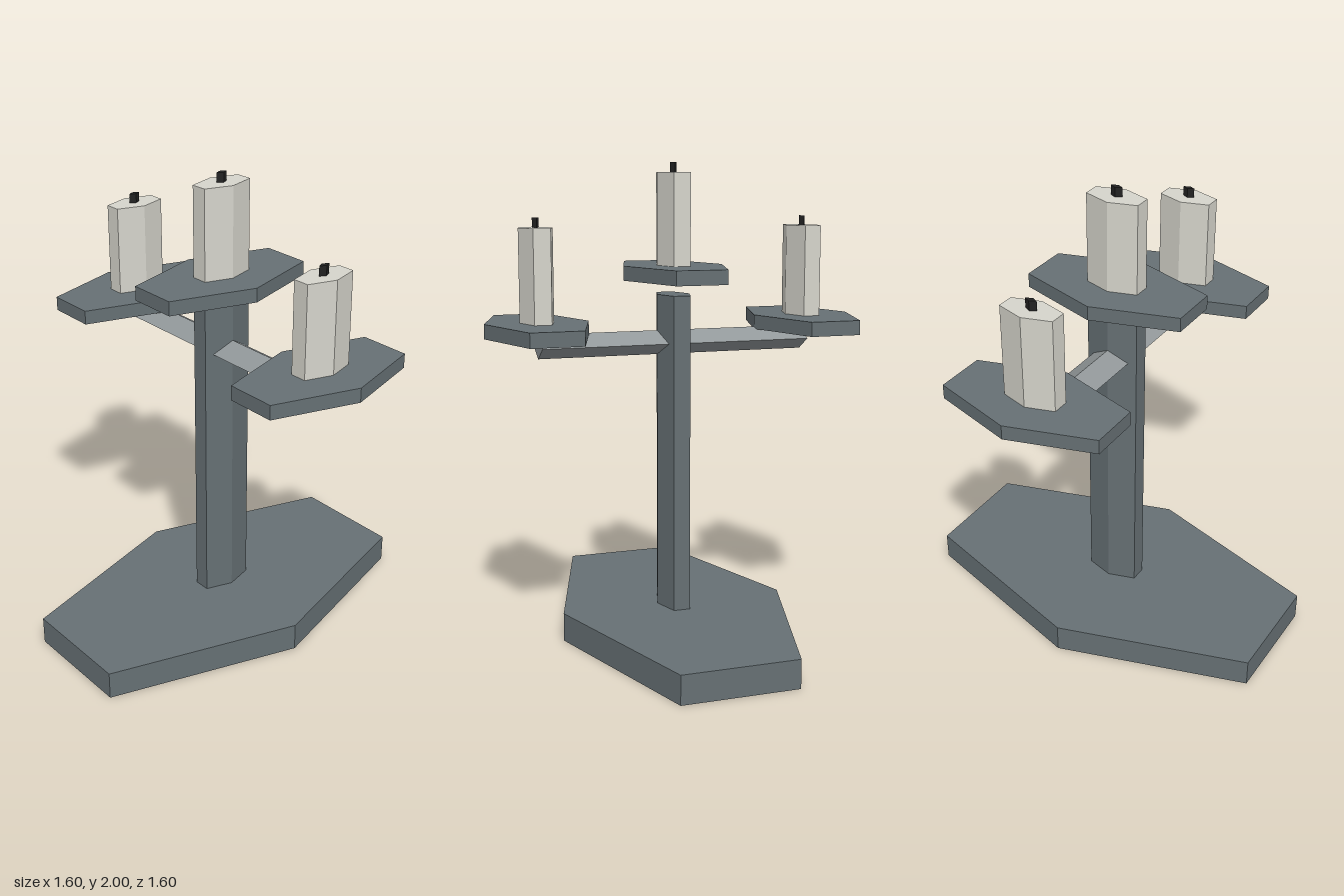
import * as THREE from 'three';

const STRETCH = 1.886; // depth stretch shared by all upright prisms
const mat = (color) => new THREE.MeshStandardMaterial({ color, flatShading: true });

export function createModel() {
  const model = new THREE.Group();
  model.name = 'candelabra';
  const iron = mat(0x667074), armIron = mat(0x92989a), wax = mat(0xd6d5cc), black = mat(0x222222);

  // upright prism with corners on the x axis, stretched along z
  function prism(parent, name, radius, bottom, top, material, sides = 6) {
    const geo = new THREE.CylinderGeometry(radius, radius, top - bottom, sides, 1, false, Math.PI / 2);
    geo.scale(1, 1, STRETCH);
    const mesh = new THREE.Mesh(geo, material);
    mesh.name = name;
    mesh.position.y = (top + bottom) / 2;
    parent.add(mesh);
  }

  // tray, candle and wick
  function candleHolder(name, x, y) {
    const holder = new THREE.Group();
    holder.name = name;
    holder.position.set(x, y, 0);
    prism(holder, 'tray', 0.216, 0, 0.06, iron);
    prism(holder, 'candle', 0.071, 0.06, 0.44, wax);
    prism(holder, 'wick', 0.0135, 0.44, 0.48, black, 4);
    model.add(holder);
  }

  // foot and column
  prism(model, 'base', 0.49, 0, 0.12, iron);
  prism(model, 'column', 0.071, 0.12, 1.46, iron);

  // diamond-section arms, mirrored
  for (const side of [-1, 1]) {
    const geo = new THREE.CylinderGeometry(0.05, 0.05, 0.58, 4);
    geo.rotateZ(Math.PI / 2);
    geo.scale(1, 1, 1.65);
    const arm = new THREE.Mesh(geo, armIron);
    arm.name = side > 0 ? 'leftArm' : 'rightArm';
    arm.position.set(side * 0.29, 1.26, 0);
    model.add(arm);
  }

  candleHolder('middleHolder', 0, 1.52);
  candleHolder('leftHolder', 0.582, 1.3);
  candleHolder('rightHolder', -0.582, 1.3);
  return model;
}
